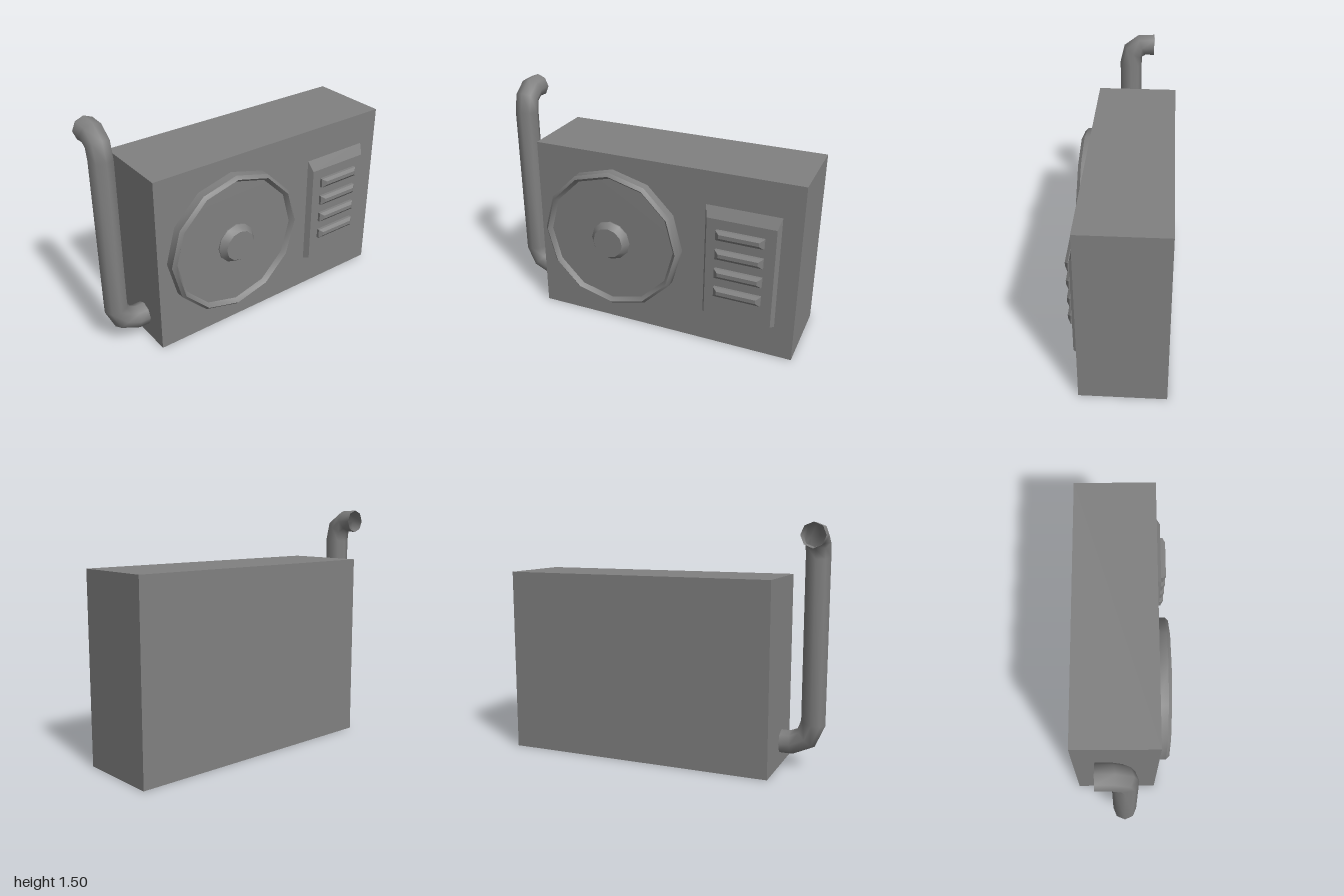
import * as THREE from 'three';
import { toCreasedNormals } from 'three/addons/utils/BufferGeometryUtils.js';

const RAD = Math.PI / 180;

// Flat-faced block given as layers along z: [z, x0, x1, y0, y1]
function layeredBlock(layers) {
  const n = layers.length - 1;
  const geo = new THREE.BoxGeometry(1, 1, 1, 1, 1, n).toNonIndexed();
  const p = geo.attributes.position;
  for (let i = 0; i < p.count; i++) {
    const [z, x0, x1, y0, y1] = layers[Math.round((p.getZ(i) + 0.5) * n)];
    p.setXYZ(i, p.getX(i) < 0 ? x0 : x1, p.getY(i) < 0 ? y0 : y1, z);
  }
  geo.computeVertexNormals();
  return geo;
}

// Turned part facing +z, from [radius, z] points
function turned(profile) {
  const geo = new THREE.LatheGeometry(profile.map(([r, z]) => new THREE.Vector2(r, z)), 12);
  geo.rotateX(Math.PI / 2);
  return toCreasedNormals(geo, 35 * RAD);
}

// Eight-sided open pipe: each ring has a centre and two axes
function pipeGeometry(rings, radius) {
  const sides = 8, pos = [], idx = [];
  rings.forEach(({ c, a, b }, i) => {
    for (let j = 0; j < sides; j++) {
      const t = (j / sides) * Math.PI * 2;
      for (let k = 0; k < 3; k++) {
        pos.push(c[k] + radius * (Math.cos(t) * a[k] + Math.sin(t) * b[k]));
      }
      if (i === rings.length - 1) continue;
      const p = i * sides + j, q = i * sides + ((j + 1) % sides);
      idx.push(p, q, p + sides, q, q + sides, p + sides);
    }
  });
  const geo = new THREE.BufferGeometry();
  geo.setAttribute('position', new THREE.Float32BufferAttribute(pos, 3));
  geo.setIndex(idx);
  geo.computeVertexNormals();
  return geo;
}

export function createModel() {
  const grey = new THREE.MeshStandardMaterial({ color: 0x808080, side: THREE.DoubleSide });
  grey.name = 'grey';
  const model = new THREE.Group();
  model.name = 'outdoorUnit';
  const add = (name, geo, x = 0, y = 0) => {
    const mesh = new THREE.Mesh(geo, grey);
    mesh.name = name;
    mesh.position.set(x, y, 0);
    model.add(mesh);
  };

  // Casing
  add('casing', layeredBlock([[-0.31, -0.73, 1, 0, 1.172], [0.214, -0.73, 1, 0, 1.172]]));

  // Fan cover with a raised rim, and its hub
  add('fanCover', turned([[0.468, 0.21], [0.468, 0.27], [0.448, 0.29], [0.425, 0.262], [0, 0.264]]), -0.2, 0.606);
  add('fanHub', turned([[0.131, 0.258], [0.131, 0.27], [0.1, 0.311], [0, 0.311]]), -0.2, 0.606);

  // Vent panel, with a long slope along its top
  add('ventPanel', layeredBlock([[0.21, 0.41, 0.88, 0.212, 0.965], [0.25, 0.432, 0.86, 0.228, 0.89]]));

  // Bevelled louvres
  for (let i = 0; i < 4; i++) {
    const y = 0.793 - i * 0.13;
    add('louvre' + (i + 1), layeredBlock([
      [0.245, 0.495, 0.793, y - 0.032, y + 0.032],
      [0.268, 0.495, 0.793, y - 0.032, y + 0.032],
      [0.287, 0.52, 0.768, y - 0.009, y + 0.016],
    ]));
  }

  // Pipe: out of the casing, up its side, then backwards at the top
  const z = 0.008;
  const lower = (x, y, deg) => ({
    c: [x, y, z], a: [0, 0, 1], b: [Math.sin(deg * RAD), Math.cos(deg * RAD), 0],
  });
  const upper = (y, zz, deg) => ({
    c: [-0.925, y, zz], a: [0, Math.sin(deg * RAD), Math.cos(deg * RAD)], b: [1, 0, 0],
  });
  add('pipe', pipeGeometry([
    lower(-0.72, 0.15, 0), lower(-0.795, 0.15, 6), lower(-0.885, 0.19, 45), lower(-0.925, 0.285, 82),
    upper(1.288, z, 6), upper(1.375, -0.008, 34), upper(1.42, -0.07, 68), upper(1.42, -0.152, 90),
  ], 0.075));

  return model;
}
